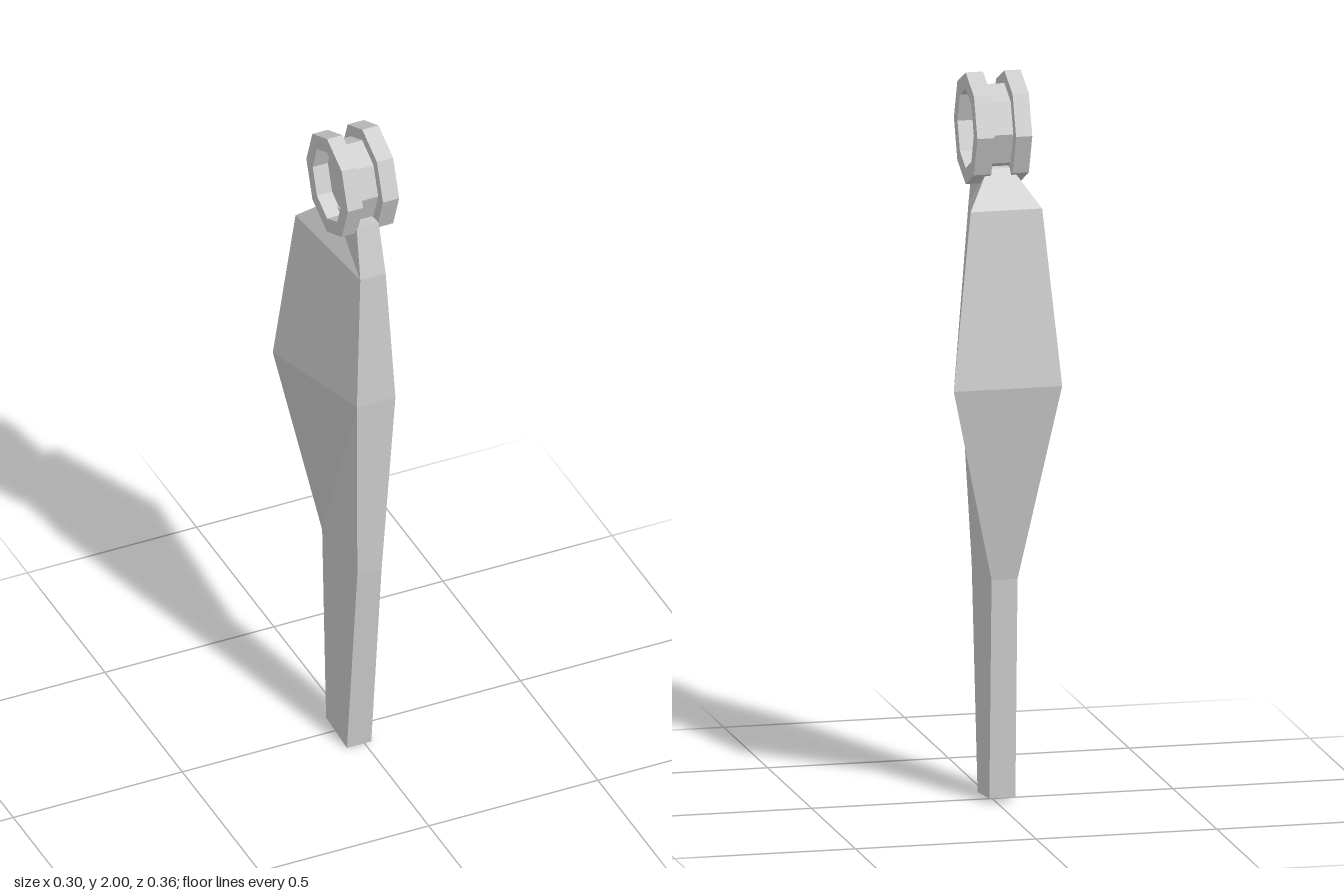
import * as THREE from 'three';

const material = new THREE.MeshStandardMaterial({ color: 0xcccccc, flatShading: true });

// Each level: front edge [y, z, xRight, xLeft], back edge [y, z, xRight, xLeft]
const LEVELS = [
  [[0.0, 0.085, -0.052, 0.02], [0.012, -0.05, -0.052, 0.02]],
  [[0.62, 0.152, -0.052, 0.02], [0.62, -0.075, -0.052, 0.02]],
  [[1.2, 0.18, -0.066, 0.048], [1.17, -0.18, -0.15, 0.15]],
  [[1.61, 0.167, -0.05, 0.025], [1.65, -0.125, -0.108, 0.09]],
  [[1.76, 0.132, -0.045, 0.02], [1.745, -0.03, -0.045, 0.02]],
];

// Four-sided faceted body lofted through the levels
function bladeGeometry() {
  const positions = [];
  for (const [f, b] of LEVELS) {
    positions.push(f[2], f[0], f[1], f[3], f[0], f[1]);
    positions.push(b[3], b[0], b[1], b[2], b[0], b[1]);
  }
  const index = [0, 3, 2, 0, 2, 1];
  const last = LEVELS.length - 1;
  for (let k = 0; k < last; k++) {
    for (let i = 0; i < 4; i++) {
      const j = (i + 1) % 4;
      const a = k * 4 + i, b = k * 4 + j, c = b + 4, d = a + 4;
      // both flanks fold along mirrored diagonals; the neck folds the other way
      const fold = (i === 1) !== (k === last - 1);
      if (fold) index.push(a, b, d, b, c, d);
      else index.push(a, b, c, a, c, d);
    }
  }
  const t = last * 4;
  index.push(t, t + 1, t + 2, t, t + 2, t + 3);
  const geometry = new THREE.BufferGeometry();
  geometry.setAttribute('position', new THREE.Float32BufferAttribute(positions, 3));
  geometry.setIndex(index);
  geometry.computeVertexNormals();
  return geometry;
}

function octagon(rz, ry) {
  return Array.from({ length: 8 }, (_, i) => {
    const a = (i * Math.PI) / 4;
    return new THREE.Vector2(rz * Math.cos(a), ry * Math.sin(a));
  });
}

// Octagonal slab along x, optionally with an octagonal hole
function octagonSlab(name, outer, hole, x0, x1) {
  const shape = new THREE.Shape(octagon(...outer));
  if (hole) shape.holes.push(new THREE.Path(octagon(...hole).reverse()));
  const geometry = new THREE.ExtrudeGeometry(shape, { depth: x1 - x0, bevelEnabled: false });
  geometry.rotateY(Math.PI / 2);
  const mesh = new THREE.Mesh(geometry, material);
  mesh.name = name;
  mesh.position.set(x0, 1.846, 0.031);
  return mesh;
}

export function createModel() {
  const model = new THREE.Group();
  model.name = 'hingedLimb';

  const blade = new THREE.Mesh(bladeGeometry(), material);
  blade.name = 'blade';
  model.add(blade);

  // Hinge: solid hub between two open rings
  const hinge = new THREE.Group();
  hinge.name = 'hinge';
  hinge.add(
    octagonSlab('hub', [0.103, 0.119], null, -0.041, 0.018),
    octagonSlab('rightRing', [0.134, 0.154], [0.093, 0.11], -0.086, -0.041),
    octagonSlab('leftRing', [0.134, 0.154], [0.093, 0.11], 0.018, 0.066),
  );
  model.add(hinge);
  return model;
}
